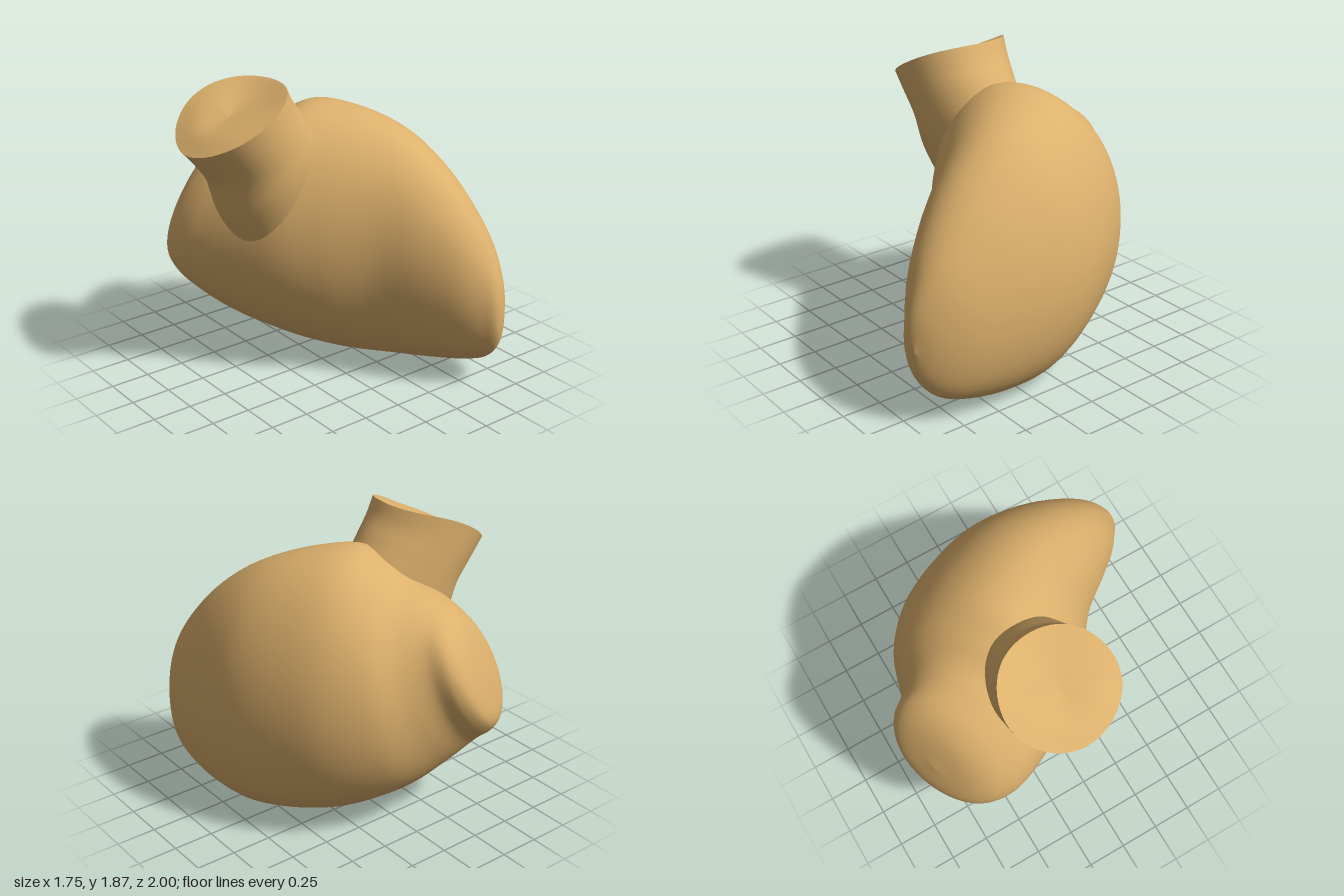
import * as THREE from 'three';

const SIDES = 56;

// Smooth skin through a few rings: a spline runs along each column of ring points
function loft(rings, steps) {
  const pos = [], idx = [];
  const columns = rings[0].map((_, j) => new THREE.CatmullRomCurve3(rings.map(r => r[j])));
  for (let i = 0; i <= steps; i++) {
    for (const c of columns) pos.push(...c.getPoint(i / steps).toArray());
  }
  for (let i = 0; i < steps; i++) {
    for (let j = 0; j < SIDES; j++) {
      const k = (j + 1) % SIDES;
      const a = i * SIDES + j, b = i * SIDES + k, c = a + SIDES, d = b + SIDES;
      idx.push(a, c, b, b, c, d);
    }
  }
  const g = new THREE.BufferGeometry();
  g.setAttribute('position', new THREE.Float32BufferAttribute(pos, 3));
  g.setIndex(idx);
  g.computeVertexNormals();
  return g;
}

const ring = f => Array.from({ length: SIDES }, (_, j) => f(j / SIDES * Math.PI * 2));

// Body section: s along the long axis (tip to back), p sideways, y up,
// skew leans the oval sideways, tilt leans its plane along the axis
function bodyRing([s0, p0, p1, y0, y1, skew, tilt]) {
  return ring(t => {
    const p = (p0 + p1) / 2 + (p1 - p0) / 2 * Math.cos(t);
    const h = (y1 - y0) / 2 * Math.sin(t - skew);
    const s = s0 + tilt * h;
    return new THREE.Vector3(0.85 * p - 0.52 * s, (y0 + y1) / 2 + h, -0.52 * p - 0.85 * s);
  });
}

// Outlet section: an oval between a left and a right point, zr deep; lift raises front and back
function outletRing([xl, yl, xr, yr, zr, lift]) {
  return ring(t => {
    const c = Math.cos(t), n = Math.sin(t);
    return new THREE.Vector3(
      (xl + xr) / 2 + (xr - xl) / 2 * c,
      (yl + yr) / 2 + (yr - yl) / 2 * c + lift * n * n * (1 - 0.4 * n),
      -0.125 + zr * n * (1 + 0.02 * Math.cos(3 * t)));
  });
}

export function createModel() {
  const group = new THREE.Group();
  const tan = new THREE.MeshStandardMaterial({ color: 0xdcb06c });
  tan.name = 'tan';
  const add = (name, geometry) => {
    const m = new THREE.Mesh(geometry, tan);
    m.name = name;
    group.add(m);
  };

  // Main chamber, from the blunt tip to the tilted disc closing the back opening
  const body = [
    [-1.175, 0.01, 0.01, 0.5, 0.5, 0.1, 0],
    [-1.145, -0.06, 0.13, 0.3, 0.71, 0.1, 0],
    [-1.06, -0.1, 0.28, 0.17, 0.92, 0.12, 0],
    [-0.92, -0.15, 0.43, 0.1, 1.13, 0.15, 0],
    [-0.7, -0.19, 0.6, 0.04, 1.36, 0.15, 0],
    [-0.42, -0.23, 0.74, 0.0, 1.55, 0.14, 0],
    [-0.1, -0.34, 0.8, 0.01, 1.66, 0.12, 0],
    [0.18, -0.42, 0.795, 0.08, 1.68, 0.1, -0.05],
    [0.44, -0.43, 0.7, 0.23, 1.59, 0, -0.18],
    [0.62, -0.41, 0.55, 0.4, 1.5, -0.12, -0.3],
    [0.75, -0.37, 0.47, 0.51, 1.44, -0.22, -0.33],
    [0.87, -0.28, 0.45, 0.6, 1.36, -0.28, -0.33],
    [0.94, -0.15, 0.38, 0.7, 1.24, -0.28, -0.33],
    [0.97, 0.11, 0.11, 0.97, 0.97, -0.28, -0.33],
  ];
  add('chamber', loft(body.map(bodyRing), 84));

  // Tilted outlet tube, flaring into the chamber
  const rim = [-0.88, 1.53, -0.25, 1.87, 0.355, 0.05];
  const outlet = [
    [-0.5, 0.85, 0.1, 1.2, 0.22, 0],
    [-0.64, 1.1, -0.02, 1.54, 0.31, 0],
    [-0.7, 1.3, -0.12, 1.68, 0.33, 0],
    [-0.8, 1.44, -0.2, 1.78, 0.345, 0.02],
    rim,
  ];
  add('outletTube', loft(outlet.map(outletRing), 28));

  // Uneven lid closing the outlet, with its own crisp edge
  const lid = [
    rim,
    [-0.76, 1.63, -0.38, 1.79, 0.22, 0.03],
    [-0.58, 1.7, -0.58, 1.7, 0, 0],
  ];
  add('outletLid', loft(lid.map(outletRing), 10));

  return group;
}
